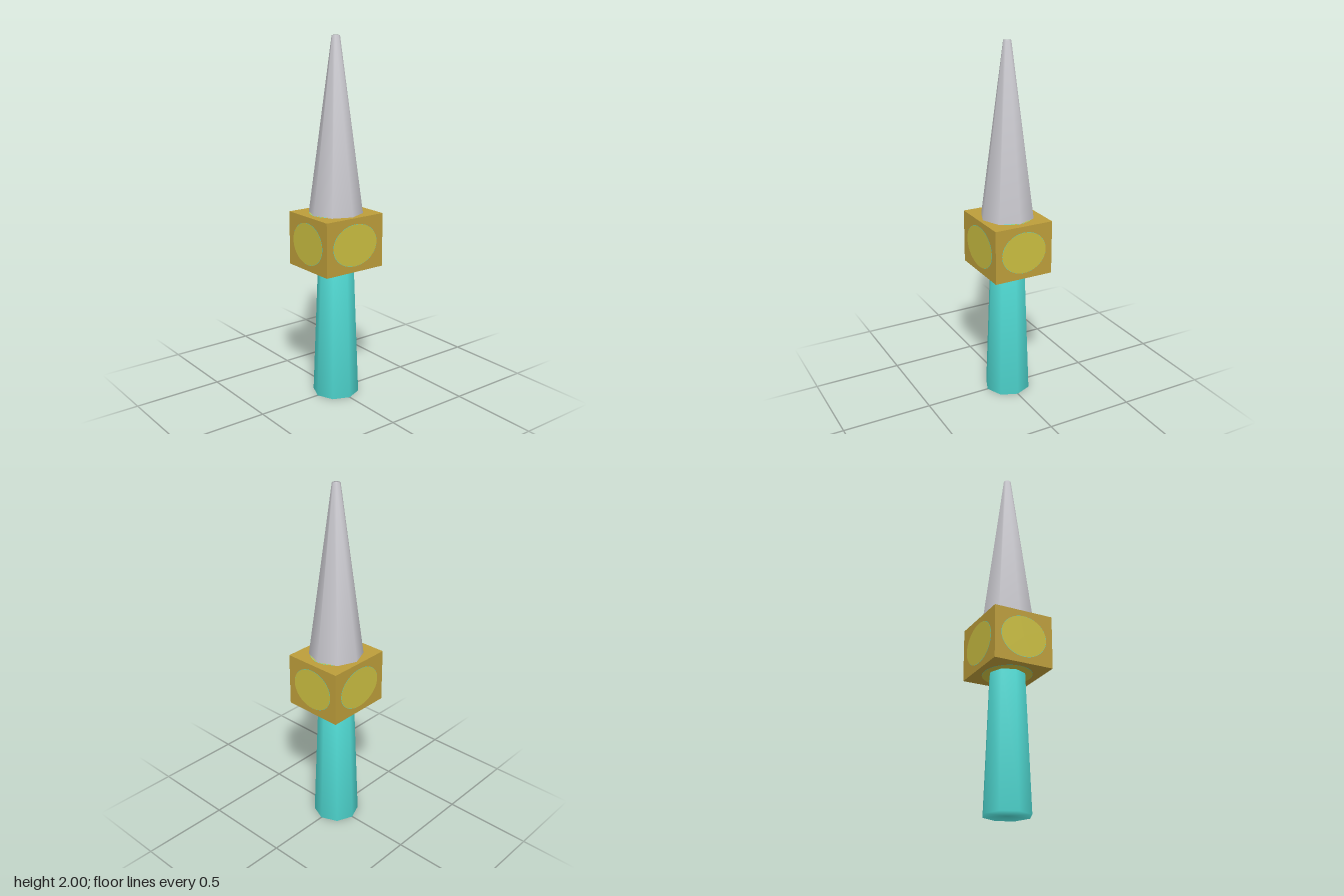
import * as THREE from 'three';

const mat = (name, color) => {
  const m = new THREE.MeshStandardMaterial({ color });
  m.name = name;
  return m;
};

export function createModel() {
  const group = new THREE.Group();
  const silver = mat('silver', 0xd2d1d7);
  const gold = mat('gold', 0xbc9d3a);
  const yellow = mat('yellow', 0xcabe41);
  const turquoise = mat('turquoise', 0x50dbd4);

  const add = (name, geometry, material, parent = group) => {
    const mesh = new THREE.Mesh(geometry, material);
    mesh.name = name;
    parent.add(mesh);
    return mesh;
  };

  // Eight-sided tapered solid, softly shaded across its end caps
  const taper = (r0, y0, r1, y1) => new THREE.LatheGeometry(
    [[0, y0], [r0, y0], [r1, y1], [0, y1]].map(([x, y]) => new THREE.Vector2(x, y)), 8);

  add('handle', taper(0.13, 0, 0.1, 0.765), turquoise);
  add('blade', taper(0.15, 1.05, 0.022, 2), silver);

  // Block guard
  const half = new THREE.Vector3(0.19, 0.15, 0.171);
  const guard = new THREE.Group();
  guard.name = 'guard';
  guard.position.y = 0.905;
  group.add(guard);
  add('guardBlock', new THREE.BoxGeometry(half.x * 2, half.y * 2, half.z * 2), gold, guard);

  // Oval inlay with a fine rim on each face of the block
  const disc = new THREE.CircleGeometry(1, 40);
  const faces = [
    ['front', half.x, half.y, half.z, 0, 0],
    ['back', half.x, half.y, half.z, 0, Math.PI],
    ['left', half.z, half.y, half.x, 0, Math.PI / 2],
    ['right', half.z, half.y, half.x, 0, -Math.PI / 2],
    ['top', half.x, half.z, half.y, -Math.PI / 2, 0],
    ['bottom', half.x, half.z, half.y, Math.PI / 2, 0],
  ];
  for (const [side, w, h, depth, rx, ry] of faces) {
    const inlay = new THREE.Group();
    inlay.name = side + 'Inlay';
    inlay.rotation.set(rx, ry, 0);
    guard.add(inlay);
    [['Rim', turquoise, 0.78, 0.001], ['Oval', yellow, 0.772, 0.002]].forEach(([part, m, s, lift]) => {
      const mesh = add(side + part, disc, m, inlay);
      mesh.scale.set(w * s, h * s, 1);
      mesh.position.z = depth + lift;
    });
  }
  return group;
}
